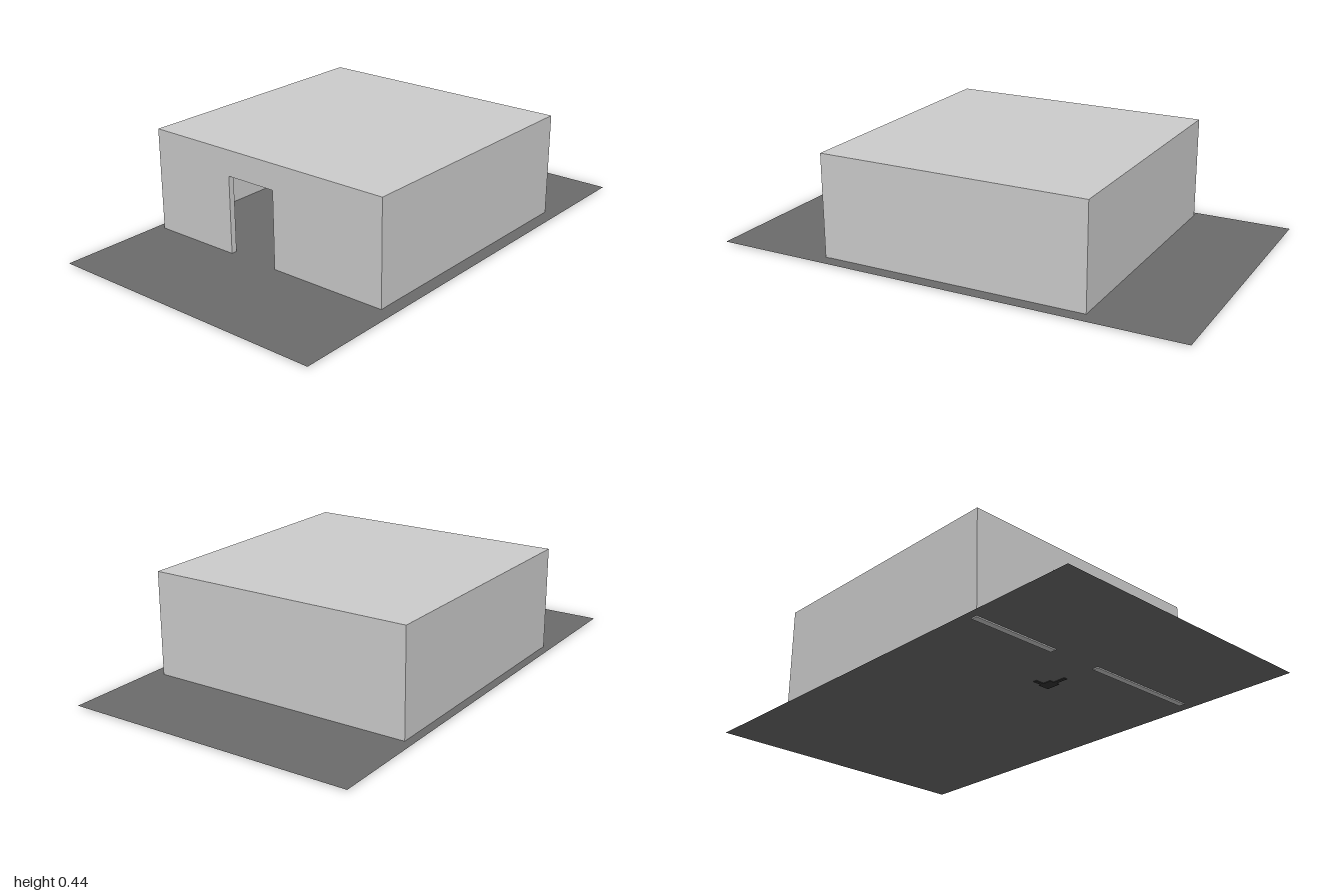
import * as THREE from 'three';

const X0 = -0.575, X1 = 0.555, Z0 = -0.59, Z1 = 0.54;
const TOP = 0.437, FLOOR = 0.005, T = 0.025;

export function createModel() {
  const group = new THREE.Group();
  const grey = new THREE.MeshStandardMaterial({ color: 0xcccccc });
  const dark = new THREE.MeshStandardMaterial({ color: 0x6b6b6b, side: THREE.DoubleSide });
  const black = new THREE.MeshStandardMaterial({ color: 0x333333 });

  // Box given by its minimum and maximum corners
  function box(name, a, b, material = grey, parent = group) {
    const mesh = new THREE.Mesh(new THREE.BoxGeometry(b[0] - a[0], b[1] - a[1], b[2] - a[2]), material);
    mesh.position.set((a[0] + b[0]) / 2, (a[1] + b[1]) / 2, (a[2] + b[2]) / 2);
    mesh.name = name;
    parent.add(mesh);
    return mesh;
  }

  // Thin ground sheet
  const ground = new THREE.Mesh(new THREE.PlaneGeometry(1.22, 2).rotateX(-Math.PI / 2), dark);
  ground.position.y = FLOOR;
  ground.name = 'ground';
  group.add(ground);

  // Front wall with a doorway notch, reaching just below the ground
  const outline = new THREE.Shape([
    [X0, 0], [-0.187, 0], [-0.187, 0.33], [0.04, 0.33],
    [0.04, 0], [X1, 0], [X1, TOP], [X0, TOP],
  ].map(([x, y]) => new THREE.Vector2(x, y)));
  const front = new THREE.Mesh(new THREE.ExtrudeGeometry(outline, { depth: T, bevelEnabled: false }), grey);
  front.position.z = Z1 - T;
  front.name = 'frontWall';
  group.add(front);

  // Side walls, back wall and flat roof
  const low = FLOOR + 0.001;
  box('leftWall', [X1 - T, low, Z0], [X1, TOP, Z1 - T]);
  box('rightWall', [X0, low, Z0], [X0 + T, TOP, Z1 - T]);
  box('backWall', [X0 + T, low, Z0], [X1 - T, TOP, Z0 + T]);
  box('roof', [X0 + T, TOP - T, Z0 + T], [X1 - T, TOP, Z1 - T]);

  // Small object lying on the floor inside the doorway
  const item = new THREE.Group();
  item.name = 'floorItem';
  box('itemBody', [0.0, 0.002, 0.27], [0.05, 0.024, 0.33], black, item);
  box('itemTop', [0.01, 0.024, 0.28], [0.04, 0.031, 0.32], black, item);
  box('itemArm', [-0.04, 0.002, 0.28], [0.0, 0.008, 0.295], black, item);
  box('itemTail', [0.02, 0.002, 0.33], [0.035, 0.012, 0.385], black, item);
  group.add(item);

  return group;
}
